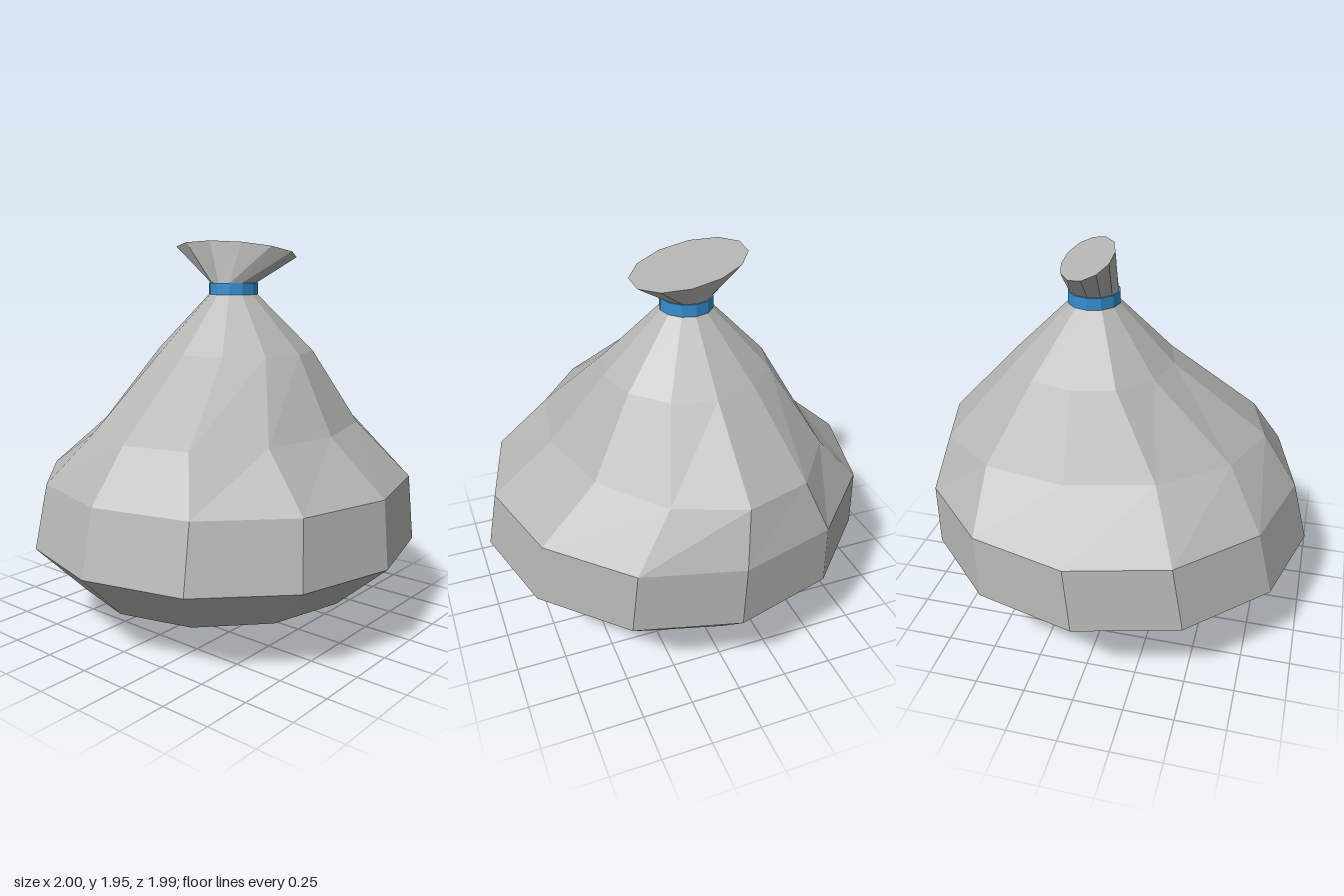
import * as THREE from 'three';

const SIDES = 12;

// A ring is an affine ellipse: centre c plus half-axes u (towards +x) and v (towards +z)
const oval = (y, cx, cz, rx, rz, twist = 0) => ({
  c: [cx, y, cz], u: [rx, 0, -twist], v: [-twist, 0, rz],
});

function ringPoints({ c, u, v }) {
  return Array.from({ length: SIDES }, (_, k) => {
    const a = (k / SIDES) * Math.PI * 2;
    return c.map((o, i) => o + u[i] * Math.cos(a) + v[i] * Math.sin(a));
  });
}

// Skin a stack of rings from bottom to top, with optional end caps
function loft(name, rings, material, { bottom = false, top = false } = {}) {
  const pts = rings.map(ringPoints);
  const pos = [];
  const tri = (...corners) => corners.forEach((p) => pos.push(...p));
  for (let k = 0; k < SIDES; k++) {
    const n = (k + 1) % SIDES;
    for (let r = 0; r + 1 < pts.length; r++) {
      const [lo, hi] = [pts[r], pts[r + 1]];
      tri(lo[n], lo[k], hi[k]);
      tri(lo[n], hi[k], hi[n]);
    }
    if (bottom) tri(rings[0].c, pts[0][k], pts[0][n]);
    const last = pts.length - 1;
    if (top) tri(rings[last].c, pts[last][n], pts[last][k]);
  }
  const geometry = new THREE.BufferGeometry();
  geometry.setAttribute('position', new THREE.Float32BufferAttribute(pos, 3));
  geometry.computeVertexNormals();
  const mesh = new THREE.Mesh(geometry, material);
  mesh.name = name;
  return mesh;
}

function flatMaterial(name, color) {
  const material = new THREE.MeshStandardMaterial({ color, flatShading: true });
  material.name = name;
  return material;
}

export function createModel() {
  const group = new THREE.Group();
  group.name = 'tiedSack';
  const cloth = flatMaterial('greyCloth', 0xb6b6b4);
  const blue = flatMaterial('blueTie', 0x3590d0);

  // Slumped sack body, leaning towards its neck
  group.add(loft('sackBody', [
    oval(0, 0, 0, 0.26, 0.23),
    oval(0.04, -0.01, 0, 0.39, 0.34),
    oval(0.2, 0, 0, 0.765, 0.725),
    oval(0.44, 0, 0, 0.998, 0.997),
    oval(0.76, 0.04, -0.01, 0.957, 0.957),
    oval(1.02, 0.08, -0.02, 0.82, 0.66, 0.035),
    oval(1.39, 0.14, -0.035, 0.41, 0.415),
    oval(1.68, 0.13, -0.04, 0.128, 0.128),
  ], cloth, { bottom: true }));

  // Band tied round the neck
  group.add(loft('neckTie', [
    oval(1.68, 0.133, -0.04, 0.13, 0.13),
    oval(1.74, 0.133, -0.04, 0.13, 0.13),
  ], blue, { bottom: true, top: true }));

  // Flared, tilted mouth above the tie
  group.add(loft('sackMouth', [
    oval(1.74, 0.133, -0.04, 0.122, 0.122),
    { c: [0.16, 1.898, -0.05], u: [0.15, -0.056, 0.05], v: [0.06, 0, 0.32] },
  ], cloth, { top: true }));

  return group;
}
